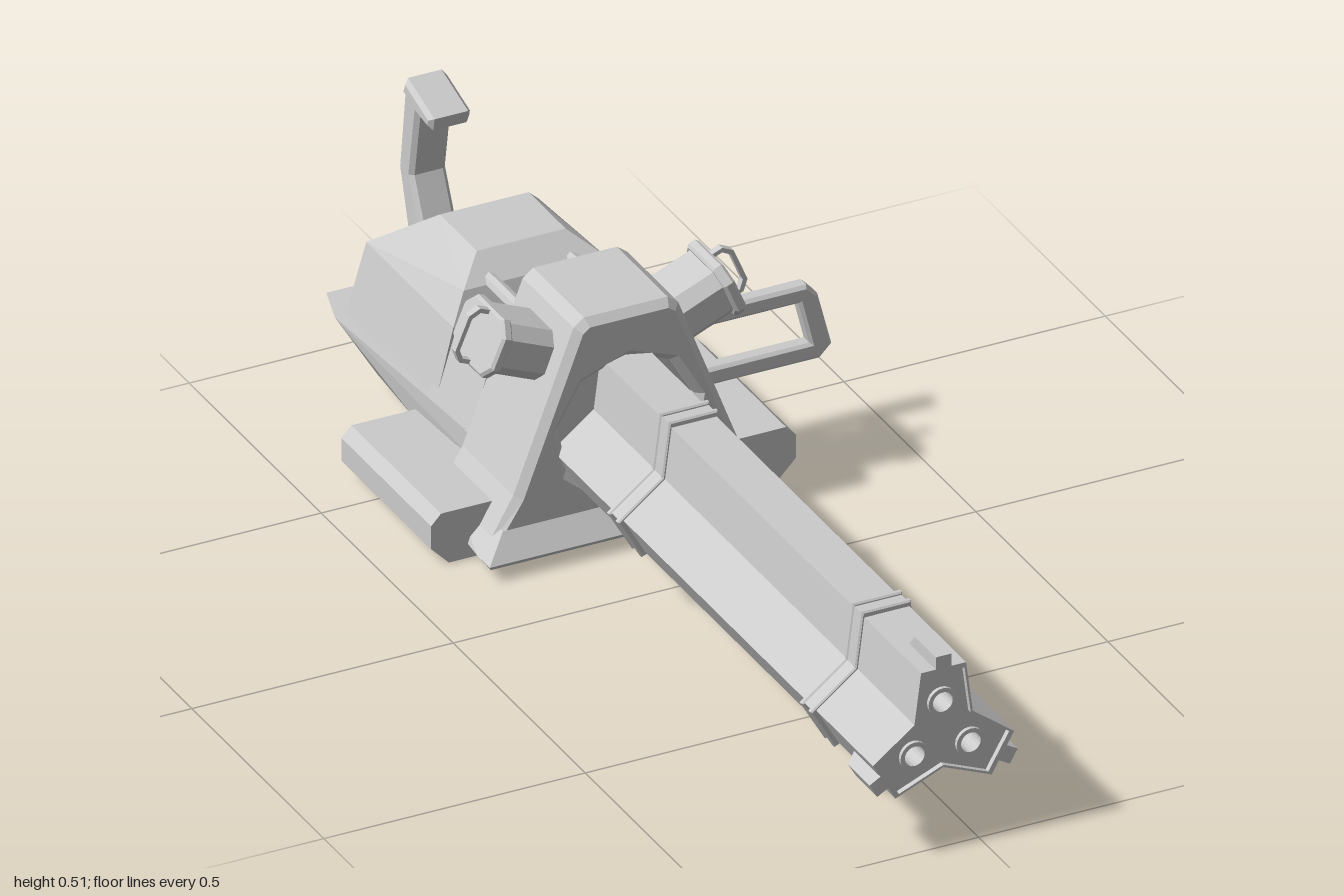
import * as THREE from 'three';
import { ConvexGeometry } from 'three/addons/geometries/ConvexGeometry.js';

const AXIS_X = -0.067, AXIS_Y = 0.22;

export function createModel() {
  const model = new THREE.Group();
  model.name = 'rotaryCannon';
  model.position.x = AXIS_X;
  const root = new THREE.Group();
  root.name = 'cannonParts';
  root.add(model);
  const grey = new THREE.MeshStandardMaterial({ color: 0xcccccc, flatShading: true });

  const add = (name, geometry, parent = model) => {
    const mesh = new THREE.Mesh(geometry, grey);
    mesh.name = name;
    parent.add(mesh);
    return mesh;
  };
  const vec = (list) => list.map(([x, y]) => new THREE.Vector2(x, y));
  const mirrored = (half) => vec([...half, ...half.map(([x, y]) => [-x, y]).reverse()]);
  // Extrude a shape in the xy plane between two z values, optional bevel kept inside
  const slab = (points, z0, z1, holes = [], bevel = 0) => {
    const shape = new THREE.Shape(points);
    holes.forEach((h) => shape.holes.push(new THREE.Path(h)));
    const g = new THREE.ExtrudeGeometry(shape, {
      depth: z1 - z0 - 2 * bevel, bevelEnabled: bevel > 0, bevelThickness: bevel,
      bevelSize: bevel, bevelOffset: -bevel, bevelSegments: 1,
    });
    return g.translate(0, 0, z0 + bevel);
  };
  // Convex block from points mirrored across the centre plane
  const block = (half) => new ConvexGeometry(
    half.flatMap(([x, y, z]) => [new THREE.Vector3(x, y, z), new THREE.Vector3(-x, y, z)]));
  const ring = (r, n, start = 0, cx = 0, cy = 0) => Array.from({ length: n }, (_, i) => {
    const a = start + (i / n) * Math.PI * 2;
    return new THREE.Vector2(cx + r * Math.cos(a), cy + r * Math.sin(a));
  });
  const octagon = (w, h, c) => mirrored([
    [w / 2 - c, -h / 2], [w / 2, -h / 2 + c], [w / 2, h / 2 - c], [w / 2 - c, h / 2]]);

  // Three-armed barrel section
  const third = (Math.PI * 2) / 3;
  const lobe = (s) => [0, 1, 2].flatMap((i) => vec([[0.056, 0.032], [0.043, 0.131], [-0.043, 0.131]])
    .map((p) => p.multiplyScalar(s).rotateAround(new THREE.Vector2(), i * third)));
  const barrels = new THREE.Group();
  barrels.name = 'barrelCluster';
  barrels.position.y = AXIS_Y;
  model.add(barrels);
  const bores = [0, 1, 2].map((i) => new THREE.Vector2(0, 0.062).rotateAround(new THREE.Vector2(), i * third));
  add('barrelShroud', slab(lobe(1), -0.25, 0.9), barrels);
  add('muzzleBlock', slab(lobe(1), 0.9, 0.99, bores.map((b) => ring(0.022, 16, 0, b.x, b.y))), barrels);
  add('muzzleRim', slab(lobe(1), 0.985, 1, [lobe(0.93)]), barrels);
  bores.forEach((b, i) => {
    add('boreRing', slab(ring(0.027, 20, 0, b.x, b.y), 0.95, 0.997, [ring(0.019, 20, 0, b.x, b.y)]), barrels);
    // Tab on each arm tip
    const tab = slab(vec([[1, 0.155], [0.92, 0.155], [0.895, 0.125], [1, 0.125]]), -0.015, 0.015);
    add('muzzleTab', tab.rotateY(-Math.PI / 2).rotateZ(i * third), barrels);
  });
  for (const z of [0.01, 0.74]) {
    add('bandMiddle', slab(lobe(1.04), z, z + 0.045), barrels);
    for (const dz of [0, 0.033]) add('bandRidge', slab(lobe(1.08), z + dz, z + dz + 0.012, [], 0.003), barrels);
  }

  // Main housing with a nine-sided recess around the barrels
  const outline = mirrored([[0.27, 0.035], [0.215, 0.13], [0.1, 0.43], [0.08, 0.445]]);
  add('housing', slab(outline, -0.41, -0.19, [ring(0.132, 9, Math.PI / 2, 0, AXIS_Y)], 0.014));
  add('recessFloor', slab(ring(0.155, 9, Math.PI / 2, 0, AXIS_Y), -0.411, -0.215));
  add('housingSkirt', block([
    [0.242, 0.073, -0.19], [0.285, 0.03, -0.155], [0.28, 0.022, -0.16], [0.285, 0.03, -0.2],
    [0.26, 0.022, -0.41], [0.242, 0.073, -0.41]]));
  add('rearPanel', slab(octagon(0.11, 0.035, 0.006), -0.417, -0.4).translate(0, 0.4, 0));

  // Twin skids with a shallow groove between them
  add('skids', slab(mirrored([
    [0, 0.018], [0.033, 0], [0.315, 0], [0.349, 0.035], [0.349, 0.08], [0.33, 0.1]]).slice(1), -0.59, -0.25));

  // Rear hull
  add('neck', block([
    [0.2, 0.1, -0.4], [0.2, 0.145, -0.4], [0.16, 0.275, -0.4],
    [0.2, 0.1, -0.56], [0.2, 0.145, -0.56], [0.16, 0.275, -0.56]]));
  add('upperHull', block([
    [0.2, 0.14, -0.53], [0.2, 0.14, -0.87], [0.165, 0.28, -0.53], [0.165, 0.28, -0.86],
    [0.135, 0.335, -0.55], [0.085, 0.375, -0.6], [0.085, 0.375, -0.74]]));
  add('lowerHull', block([
    [0.2, 0.147, -0.42], [0.2, 0.105, -0.42], [0.225, 0.147, -0.86], [0.2, 0.147, -0.942],
    [0.205, 0.078, -0.6], [0.15, 0.035, -0.59], [0.16, 0.035, -0.83]]));
  for (const x of [-0.078, 0.078]) {
    const rod = new THREE.CylinderGeometry(0.014, 0.014, 0.18, 8).rotateX(Math.PI / 2);
    add('connectingRod', rod.translate(x, 0.335, -0.48));
  }

  // Curved rear grip, drawn in side profile (z, y)
  const profile = (name, points, half) =>
    add(name, slab(vec(points), -half, half, [], 0.008).rotateY(-Math.PI / 2));
  profile('rearGrip', [
    [-0.86, 0.14], [-0.86, 0.27], [-0.915, 0.255], [-0.95, 0.33], [-0.925, 0.475],
    [-0.975, 0.49], [-0.997, 0.33], [-0.94, 0.14]], 0.035);
  profile('gripHead', [
    [-0.87, 0.46], [-0.864, 0.485], [-0.965, 0.515], [-0.977, 0.485], [-0.925, 0.467]], 0.04);

  // Carrying handle on the left side
  add('sideHandle', slab(vec([
    [0.12, 0.29], [0.432, 0.29], [0.453, 0.268], [0.48, 0.163], [0.457, 0.14], [0.18, 0.14],
    [0.18, 0.174], [0.438, 0.174], [0.417, 0.257], [0.12, 0.257]]), -0.403, -0.37, [], 0.006));

  // Tilted side pods with small loop handles
  for (const turn of [0, Math.PI]) {
    const side = new THREE.Group();
    side.name = turn ? 'rightPod' : 'leftPod';
    side.position.set(0, 0, -0.303);
    side.rotation.y = turn;
    const pod = new THREE.Group();
    pod.name = 'podParts';
    pod.position.set(0.224, 0.395, 0);
    pod.rotation.z = 0.4;
    side.add(pod);
    model.add(side);
    const along = (w, h, c, x0, x1, bevel = 0) =>
      slab(octagon(w, h, c), x0, x1, [], bevel).rotateY(Math.PI / 2);
    add('podBody', along(0.13, 0.095, 0.022, -0.14, 0), pod);
    add('podFlange', along(0.15, 0.112, 0.026, -0.012, 0.01, 0.005), pod);
    add('podHandle', slab(vec([
      [0, 0.052], [0.03, 0.052], [0.046, 0.034], [0.046, -0.034], [0.03, -0.052], [0, -0.052],
      [0, -0.044], [0.026, -0.044], [0.038, -0.03], [0.038, 0.03], [0.026, 0.044], [0, 0.044]]),
    -0.007, 0.007), pod);
  }
  return root;
}
